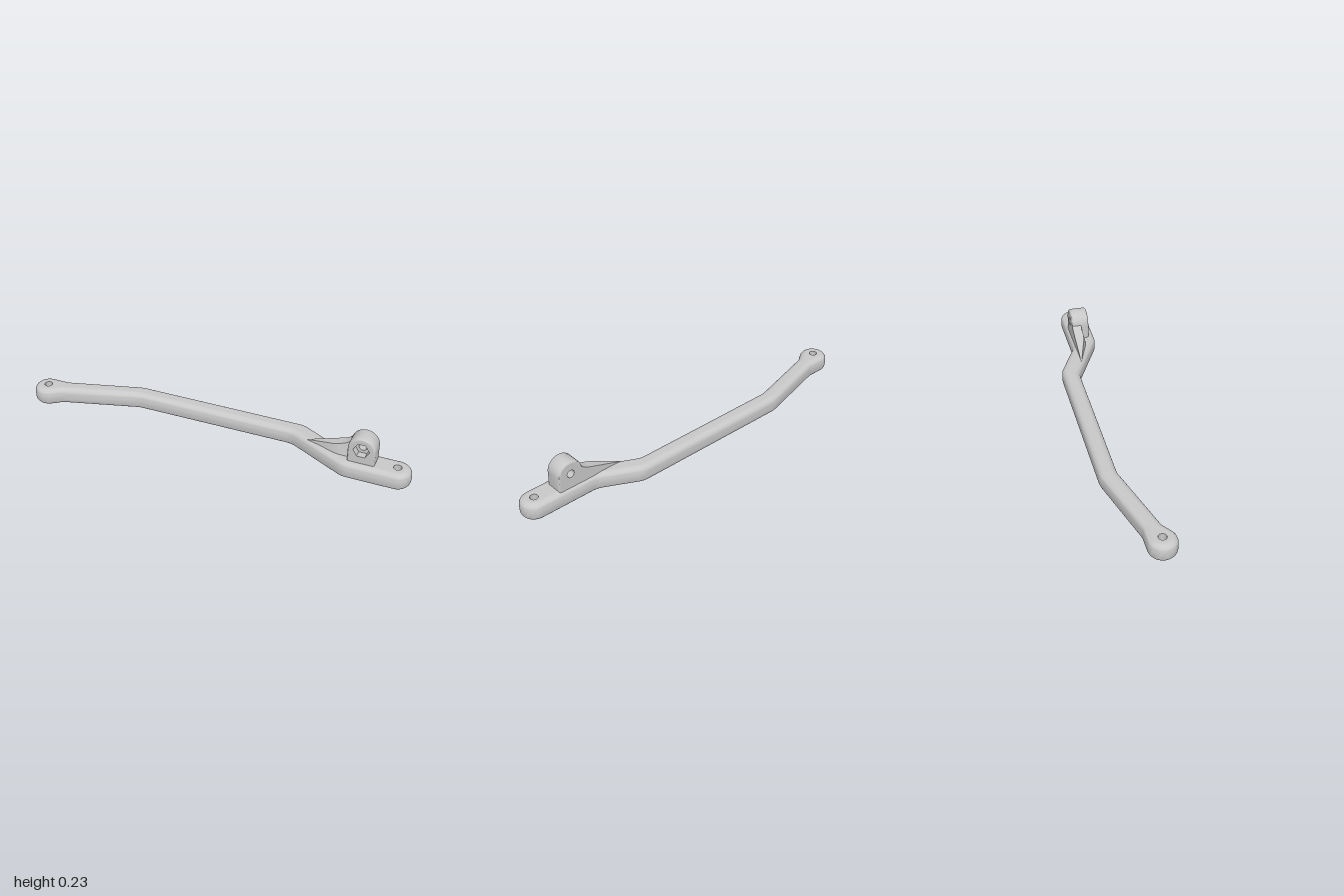
import * as THREE from 'three';
import { mergeGeometries, toCreasedNormals } from 'three/addons/utils/BufferGeometryUtils.js';

const V2 = (x, y) => new THREE.Vector2(x, y);

// Counter-clockwise polygon [x, y, radius] with filleted corners
function filletOutline(corners) {
  const out = [];
  const add = (p) => {
    if (!out.length || out[out.length - 1].distanceTo(p) > 1e-4) out.push(p);
  };
  corners.forEach(([x, y, r = 0], i) => {
    const n = corners.length;
    const p = V2(x, y);
    if (!r) return add(p);
    const a = V2(...corners[(i + n - 1) % n]).sub(p).normalize();
    const b = V2(...corners[(i + 1) % n]).sub(p).normalize();
    const half = Math.acos(a.dot(b)) / 2;
    const centre = p.clone().add(a.clone().add(b).normalize().multiplyScalar(r / Math.sin(half)));
    const start = p.clone().addScaledVector(a, r / Math.tan(half)).sub(centre);
    const turn = (Math.PI - 2 * half) * (a.x * b.y - a.y * b.x < 0 ? 1 : -1);
    const steps = Math.max(4, Math.ceil(Math.abs(turn) / 0.17));
    for (let k = 0; k <= steps; k++) {
      add(start.clone().rotateAround(V2(0, 0), (turn * k) / steps).add(centre));
    }
  });
  if (out[0].distanceTo(out[out.length - 1]) < 1e-4) out.pop();
  return out;
}

// Moves every outline point inwards by d
function inset(points, d) {
  const n = points.length;
  const normal = (p, q) => V2(q.y - p.y, p.x - q.x).normalize();
  return points.map((p, i) => {
    const a = normal(points[(i + n - 1) % n], p);
    const b = normal(p, points[(i + 1) % n]);
    return p.clone().addScaledVector(a.clone().add(b), -d / (1 + a.dot(b)));
  });
}

const circle = (x, y, r, n) => Array.from({ length: n }, (_, i) =>
  V2(x + r * Math.cos((i * 2 * Math.PI) / n), y + r * Math.sin((i * 2 * Math.PI) / n)));

// Skin between rings of points [{points, z}]
function skin(rings) {
  const n = rings[0].points.length;
  const pos = rings.flatMap(({ points, z }) => points.flatMap((p) => [p.x, p.y, z]));
  const index = [];
  for (let j = 0; j < rings.length - 1; j++) {
    for (let i = 0; i < n; i++) {
      const a = j * n + i, b = j * n + ((i + 1) % n);
      index.push(a, b, b + n, a, b + n, a + n);
    }
  }
  const g = new THREE.BufferGeometry();
  g.setAttribute('position', new THREE.Float32BufferAttribute(pos, 3));
  g.setIndex(index);
  return toCreasedNormals(g, 0.6);
}

// Flat face with holes, facing +z or -z
function face(points, holes, z, up) {
  const shape = new THREE.Shape(points);
  shape.holes = holes.map((h) => new THREE.Path(h));
  const g = new THREE.ShapeGeometry(shape).toNonIndexed();
  g.deleteAttribute('uv');
  g.translate(0, 0, z);
  if (!up) {
    const p = g.attributes.position;
    const v = new THREE.Vector3(), w = new THREE.Vector3();
    for (let i = 0; i < p.count; i += 3) {
      v.fromBufferAttribute(p, i + 1);
      w.fromBufferAttribute(p, i + 2);
      p.setXYZ(i + 1, w.x, w.y, w.z);
      p.setXYZ(i + 2, v.x, v.y, v.z);
    }
    g.computeVertexNormals();
  }
  return g;
}

// Round-edged plate of depth 0..h with stepped holes
// hole: x, y, upper and lower radius and side count, height of the step,
// web: thickness of a closing skin at the step, 0 for a through hole
function plate(outline, h, bevel, holes) {
  const steps = 6;
  const rings = [];
  for (const end of [0, 1]) {
    for (let k = 0; k <= steps; k++) {
      const t = ((end ? k : steps - k) / steps) * Math.PI / 2;
      const dz = bevel * (1 - Math.sin(t));
      rings.push({ points: inset(outline, bevel * (1 - Math.cos(t))), z: end ? h - dz : dz });
    }
  }
  const parts = [skin(rings)];
  const upper = holes.map((o) => circle(o.x, o.y, o.top, o.topSides));
  const lower = holes.map((o) => circle(o.x, o.y, o.bottom, o.bottomSides));
  const edge = inset(outline, bevel);
  parts.push(face(edge, upper, h, true), face(edge, lower, 0, false));
  holes.forEach((o, i) => {
    const floor = o.step + o.web;
    parts.push(skin([{ points: upper[i], z: h }, { points: upper[i], z: floor }]));
    parts.push(skin([{ points: lower[i], z: o.step }, { points: lower[i], z: 0 }]));
    if (o.web) parts.push(face(upper[i], [], floor, true), face(lower[i], [], o.step, false));
    else parts.push(face(upper[i], [lower[i]], o.step, true));
  });
  return mergeGeometries(parts);
}

export function createModel() {
  const group = new THREE.Group();
  const grey = new THREE.MeshStandardMaterial({ color: 0xc8c8c8 });
  grey.name = 'grey';
  const add = (name, geometry) => {
    const mesh = new THREE.Mesh(geometry, grey);
    mesh.name = name;
    group.add(mesh);
  };

  // Cranked bar, drawn in plan with counterbored end holes
  const barOutline = filletOutline([
    [-1, 0.018, 0.069], [-1, -0.12, 0.069], [-0.905, -0.12, 0.07], [-0.84, -0.074, 0.08],
    [-0.45, 0.032, 0.15], [0.375, 0.032, 0.1], [0.675, -0.12, 0.12], [1, -0.12, 0.069],
    [1, 0.018, 0.069], [0.62, 0.018, 0.1], [0.42, 0.121, 0.12], [-0.46, 0.121, 0.15], [-0.845, 0.018, 0.08],
  ]);
  const endHoles = [-0.93, 0.93].map((x) => (
    { x, y: -0.05, top: 0.02, topSides: 28, bottom: 0.036, bottomSides: 28, step: 0.04, web: 0.004 }));
  add('bar', plate(barOutline, 0.091, 0.03, endHoles).rotateX(-Math.PI / 2));

  // Upright lug with hexagonal nut pocket in front
  const lugOutline = filletOutline([
    [0.69, 0.06], [0.825, 0.06], [0.825, 0.231, 0.0675], [0.69, 0.231, 0.0675],
  ]);
  const boltHole = { x: 0.757, y: 0.164, top: 0.04, topSides: 6, bottom: 0.02, bottomSides: 28, step: 0.055, web: 0 };
  add('lug', plate(lugOutline, 0.091, 0.01, [boltHole]).translate(0, 0, -0.004));

  // Ramped rib: x, top height, front z at top, front z at bottom
  const sections = [
    [0.47, 0.089, -0.001, 0], [0.55, 0.116, 0.024, 0.03], [0.61, 0.136, 0.043, 0.053],
    [0.64, 0.146, 0.046, 0.06], [0.67, 0.157, 0.044, 0.06], [0.70, 0.178, 0.045, 0.06],
  ];
  const pos = [];
  const index = [];
  sections.forEach(([x, top, zTop, zBottom], j) => {
    // Back-bottom, back-top, front-top, front-bottom
    pos.push(x, 0.08, -0.004, x, top, -0.004, x, top, zTop, x, 0.08, zBottom);
    for (let i = 0; j && i < 4; i++) {
      const a = (j - 1) * 4 + i, b = (j - 1) * 4 + ((i + 1) % 4);
      index.push(a, b, b + 4, a, b + 4, a + 4);
    }
  });
  index.push(0, 3, 2, 0, 2, 1);
  const rib = new THREE.BufferGeometry();
  rib.setAttribute('position', new THREE.Float32BufferAttribute(pos, 3));
  rib.setIndex(index);
  add('rib', toCreasedNormals(rib, 0.6));

  return group;
}
